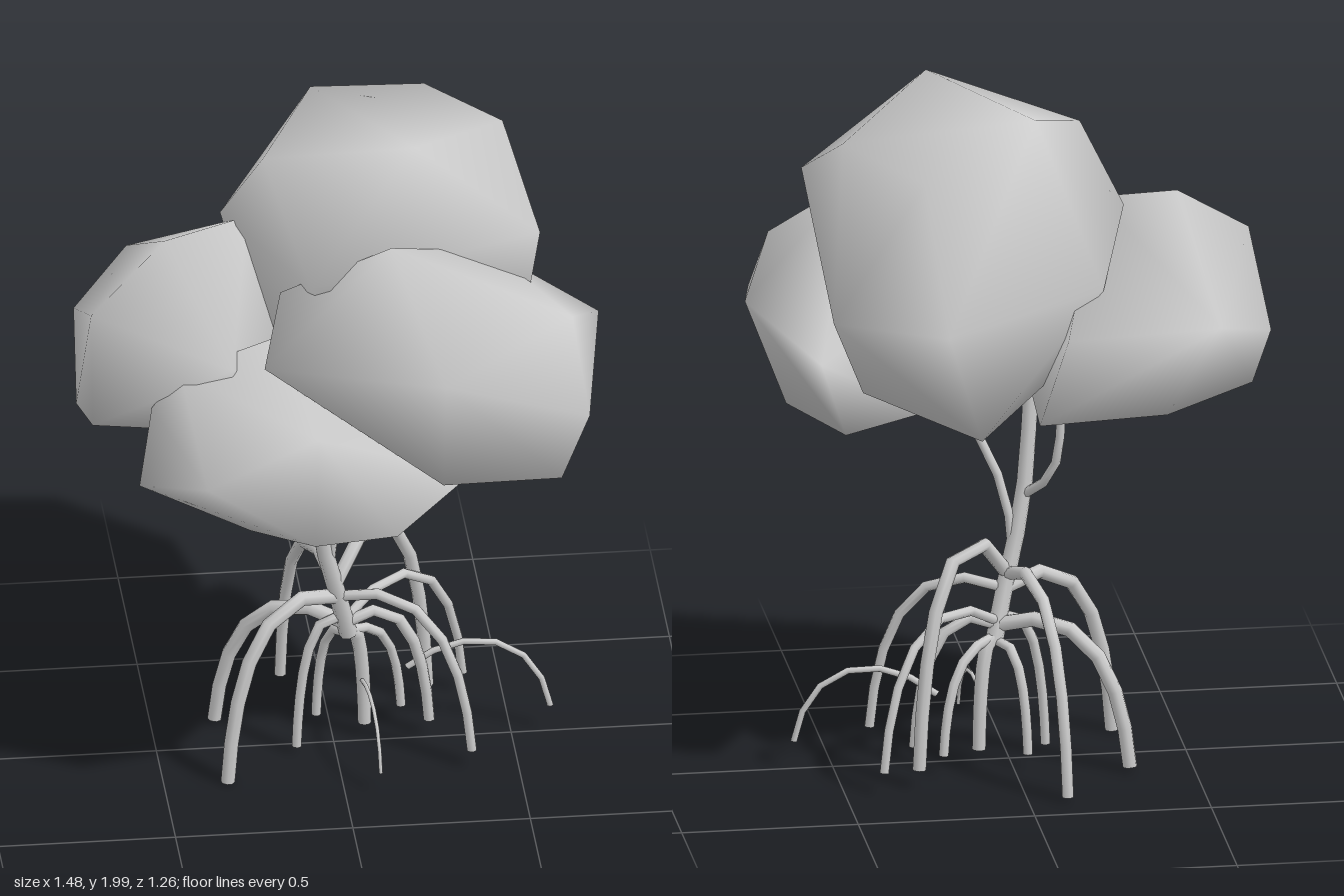
import * as THREE from 'three';
import { mergeVertices, mergeGeometries } from 'three/addons/utils/BufferGeometryUtils.js';
import { ConvexGeometry } from 'three/addons/geometries/ConvexGeometry.js';

const material = new THREE.MeshStandardMaterial({ color: 0xcccccc });
const vec = (x, y, z) => new THREE.Vector3(x, y, z);

function part(name, geometry) {
  const mesh = new THREE.Mesh(geometry, material);
  mesh.name = name;
  return mesh;
}

// Tapered limb along a curve, with a flat cap at its far end
function limb(name, curve, segments, r0, r1) {
  const sides = 8;
  const tube = new THREE.TubeGeometry(curve, segments, 1, sides, false);
  const pos = tube.attributes.position, v = vec(0, 0, 0);
  for (let i = 0; i < pos.count; i++) {
    const t = Math.floor(i / (sides + 1)) / segments;
    const centre = curve.getPointAt(t);
    v.fromBufferAttribute(pos, i).sub(centre).multiplyScalar(r0 + (r1 - r0) * t).add(centre);
    pos.setXYZ(i, v.x, v.y, v.z);
  }
  const cap = new THREE.CircleGeometry(r1, sides);
  cap.applyQuaternion(new THREE.Quaternion().setFromUnitVectors(vec(0, 0, 1), curve.getTangentAt(1)));
  cap.translate(...curve.getPointAt(1).toArray());
  return part(name, mergeGeometries([tube, cap]));
}

const branch = (name, points, r0, r1) =>
  limb(name, new THREE.CatmullRomCurve3(points), 6, r0, r1);

// Root that arches out at height "arch", then drops steeply to its tip
function archedRoot(name, start, tip, arch, radius) {
  const out = start.clone().lerp(tip, 0.35).setY(arch);
  const over = start.clone().lerp(tip, 0.9).setY(arch);
  return limb(name, new THREE.CubicBezierCurve3(start, out, over, tip), 6, radius, radius * 0.9);
}

// Point on the lower trunk at a given height
const onTrunk = (y) => vec(0.04 - 0.235 * (y - 0.36), y, 0.01 + 0.235 * (y - 0.36));

// Faceted leaf mass: smooth-shaded hull around a few corners
function leafMass(name, corners) {
  const hull = new ConvexGeometry(corners.map((c) => vec(...c)));
  hull.deleteAttribute('normal');
  const geometry = mergeVertices(hull, 1e-4);
  geometry.computeVertexNormals();
  return part(name, geometry);
}

export function createModel() {
  const tree = new THREE.Group();
  tree.name = 'mangroveTree';

  // Crown
  const crown = new THREE.Group();
  crown.name = 'crown';
  crown.add(
    leafMass('topLeaves', [
      [0.21, 2, 0.18], [-0.04, 1.98, -0.24], [-0.2, 1.89, 0], [0.49, 1.9, -0.13], [0.3, 1.87, -0.42],
      [0.26, 1.48, -0.63], [0.55, 1.45, -0.37], [0.56, 1.72, 0.2], [0.51, 1.5, 0.27], [-0.1, 1.65, 0.33],
      [-0.31, 1.67, -0.1], [-0.22, 1.5, -0.33], [0.15, 1.13, -0.51], [0.45, 1.2, -0.25],
      [-0.2, 1.25, -0.1], [0.1, 1.15, 0.1]]));
  crown.add(
    leafMass('rightLeaves', [
      [-0.7, 1.5, 0.15], [-0.48, 1.66, 0.03], [-0.24, 1.68, -0.05], [-0.71, 1.32, -0.22],
      [-0.54, 1.4, -0.42], [-0.1, 1.4, -0.47], [-0.02, 1.15, -0.46], [-0.74, 1.21, 0.13],
      [-0.7, 1.17, 0.19], [-0.32, 1.4, 0.33], [-0.66, 1.16, -0.2], [-0.4, 1.12, -0.33],
      [-0.05, 1.12, -0.1], [-0.3, 1.13, 0.2]]));
  crown.add(
    leafMass('leftLeaves', [
      [-0.24, 1.45, 0.42], [-0.18, 1.61, 0.27], [0.13, 1.75, 0.3], [0.42, 1.67, 0.2], [0.64, 1.5, 0.3],
      [0.74, 1.38, 0.06], [0.61, 1.04, 0.15], [0.6, 1.04, 0.4], [0.26, 1.07, 0.46], [0.67, 1.28, 0.48],
      [0.25, 1.47, 0.62], [0.56, 1.27, -0.2], [0.5, 1.08, -0.26], [0.25, 1.12, -0.2], [0, 1.2, 0.1]]));
  crown.add(
    leafMass('frontLeaves', [
      [-0.58, 1.03, 0.3], [-0.54, 1.25, 0.25], [-0.46, 1.36, 0.25], [-0.2, 1.47, 0.28],
      [-0.41, 1.12, 0.51], [-0.12, 0.99, 0.63], [0.12, 0.97, 0.56], [-0.1, 1.28, 0.54],
      [-0.28, 0.94, 0.43], [0.14, 0.95, 0.45], [0.35, 1.04, 0.35], [-0.36, 1.15, 0], [0.2, 1.18, 0]]));
  tree.add(crown);

  // Trunk and branches
  tree.add(
    branch('trunk', [onTrunk(0.36), onTrunk(0.53), vec(-0.05, 0.75, 0.08), vec(-0.09, 1.25, 0.13)], 0.026, 0.02),
    branch('leftBranch', [vec(-0.02, 0.58, 0.06), vec(0, 0.76, 0.08), vec(0.08, 0.95, 0.11), vec(0.25, 1.25, 0.15)], 0.014, 0.012),
    branch('rightBranch', [vec(-0.06, 0.77, 0.07), vec(-0.09, 0.8, 0.03), vec(-0.13, 0.88, -0.01), vec(-0.15, 1.2, -0.02)], 0.014, 0.012));

  // Prop roots: [height on trunk, arch height, tip x, tip y, tip z, radius]
  const propRoots = new THREE.Group();
  propRoots.name = 'propRoots';
  [
    [0.5, 0.56, -0.32, 0.01, 0.2, 0.022],
    [0.4, 0.46, -0.32, 0.02, -0.15, 0.023],
    [0.54, 0.63, -0.11, 0.02, -0.385, 0.019],
    [0.54, 0.76, 0.285, 0.06, -0.21, 0.021],
    [0.41, 0.53, 0.39, 0.07, -0.25, 0.015],
    [0.5, 0.55, 0.37, 0.06, 0.18, 0.016],
    [0.4, 0.46, 0.27, 0.06, -0.01, 0.018],
    [0.37, 0.36, 0.2, 0.06, -0.1, 0.015],
    [0.36, 0.37, -0.04, 0.05, -0.09, 0.015],
    [0.43, 0.44, -0.11, 0.03, 0.05, 0.016],
    [0.38, 0.38, 0.09, 0.05, -0.03, 0.021],
  ].forEach(([height, arch, x, y, z, radius], i) =>
    propRoots.add(archedRoot(`propRoot${i + 1}`, onTrunk(height), vec(x, y, z), arch, radius)));

  // Thin side roots
  propRoots.add(
    archedRoot('leftSideRoot', vec(0.21, 0.22, -0.03), vec(0.61, 0.09, 0), 0.345, 0.01),
    archedRoot('frontSideRoot', vec(0.08, 0.2, 0), vec(0.1, 0.07, 0.305), 0.24, 0.006));
  tree.add(propRoots);
  return tree;
}
